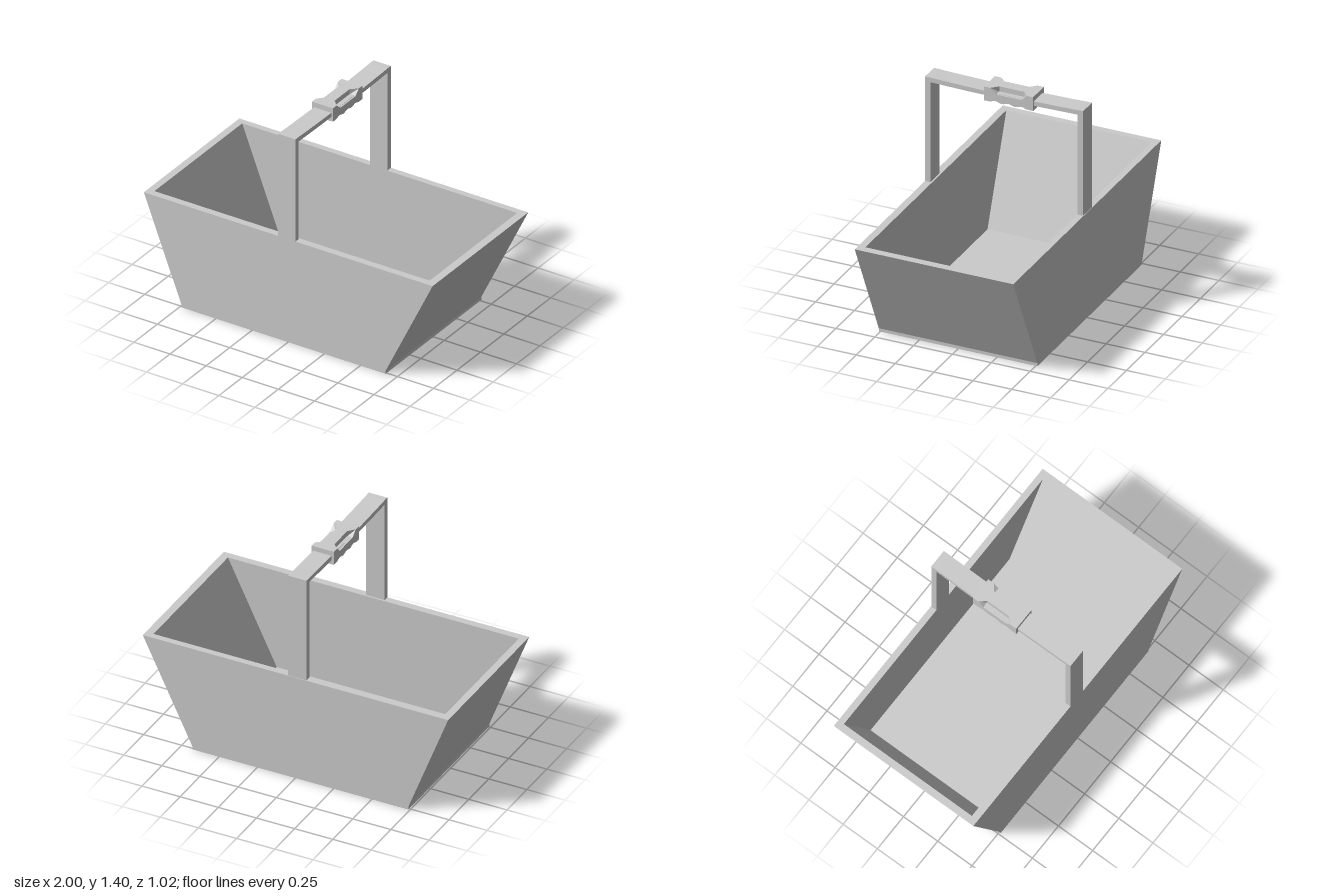
import * as THREE from 'three';
import { ConvexGeometry } from 'three/addons/geometries/ConvexGeometry.js';

const material = new THREE.MeshStandardMaterial({ color: 0xcccccc, flatShading: true });
const shapeOf = pts => new THREE.Shape(pts.map(p => new THREE.Vector2(...p)));

function addMesh(parent, name, geometry) {
  const mesh = new THREE.Mesh(geometry, material);
  mesh.name = name;
  parent.add(mesh);
  return mesh;
}

// Extrude an (x, y) outline from z0 to z1.
function extrudeZ(pts, z0, z1) {
  return new THREE.ExtrudeGeometry(shapeOf(pts), { depth: z1 - z0, bevelEnabled: false }).translate(0, 0, z0);
}

// Extrude a (z, y) outline from x0 to x1.
function extrudeX(pts, x0, x1) {
  return new THREE.ExtrudeGeometry(shapeOf(pts), { depth: x1 - x0, bevelEnabled: false })
    .rotateY(-Math.PI / 2).translate(x1, 0, 0);
}

function createTub() {
  const tub = new THREE.Group();
  tub.name = 'tub';
  const outer = [[-1, 0.69], [-0.74, 0.02], [-0.74, 0], [0.675, 0], [0.675, 0.02], [1, 0.69]];
  const inner = [[0.95, 0.69], [0.63, 0.03], [-0.7, 0.03], [-0.955, 0.69]];
  addMesh(tub, 'floorAndEndWalls', extrudeZ([...outer, ...inner], -0.47, 0.465));
  addMesh(tub, 'frontWall', extrudeZ(outer, 0.465, 0.51));
  addMesh(tub, 'backWall', extrudeZ(outer, -0.51, -0.47));
  return tub;
}

function createHandle() {
  // Arch of two posts and a slightly thinning crossbar
  const arch = [
    [0.51, 0.68], [0.51, 1.375], [0.48, 1.375], [0.39, 1.372], [0.23, 1.369], [0.12, 1.367],
    [-0.12, 1.367], [-0.23, 1.369], [-0.39, 1.372], [-0.475, 1.375], [-0.507, 1.375], [-0.507, 0.68],
    [-0.47, 0.68], [-0.47, 1.345], [-0.39, 1.343], [-0.23, 1.34],
    [0.23, 1.34], [0.39, 1.343], [0.475, 1.345], [0.475, 0.68],
  ];
  return extrudeX(arch, -0.07, 0.05);
}

function createGrip() {
  const grip = new THREE.Group();
  grip.name = 'grip';
  const x0 = -0.085, x1 = 0.06, z0 = -0.19, z1 = 0.125; // overall extents
  const base = 1.31, ledge = 1.365, top = 1.4;

  // Lower body with three finger grooves underneath
  const body = [[z1, ledge], [z0, ledge], [z0, base]];
  const steps = 24;
  for (let i = 0; i <= steps; i++) {
    const t = i / steps;
    body.push([-0.155 + 0.25 * t, base + 0.005 * (1 - Math.cos(6 * Math.PI * t))]);
  }
  body.push([z1, base]);
  addMesh(grip, 'gripBody', extrudeX(body, x0, x1));

  // Top block, narrowed at the waist by a notch on each side
  const notchZ = [-0.15, -0.115, 0.045, 0.085];
  const left = 0.02, right = -0.05;
  const plan = [
    [z0, x0], [z0, x1], [notchZ[0], x1], [notchZ[1], left], [notchZ[2], left], [notchZ[3], x1],
    [z1, x1], [z1, x0], [notchZ[3], x0], [notchZ[2], right], [notchZ[1], right], [notchZ[0], x0],
  ].map(([z, x]) => [x, -z]);
  const block = new THREE.ExtrudeGeometry(shapeOf(plan), { depth: top - ledge, bevelEnabled: false });
  addMesh(grip, 'gripTop', block.rotateX(-Math.PI / 2).translate(0, ledge, 0));

  // Sloping ramps at the four notch ends
  for (const [edge, waist] of [[x0, right], [x1, left]]) {
    for (const [far, near] of [[notchZ[0], notchZ[1]], [notchZ[3], notchZ[2]]]) {
      addMesh(grip, 'notchRamp', new ConvexGeometry([
        new THREE.Vector3(edge, top, far), new THREE.Vector3(edge, ledge, far),
        new THREE.Vector3(edge, ledge, near), new THREE.Vector3(waist, ledge, near),
      ]));
    }
  }
  return grip;
}

export function createModel() {
  const model = new THREE.Group();
  model.name = 'basket';
  model.add(createTub());
  addMesh(model, 'handle', createHandle());
  model.add(createGrip());
  return model;
}
